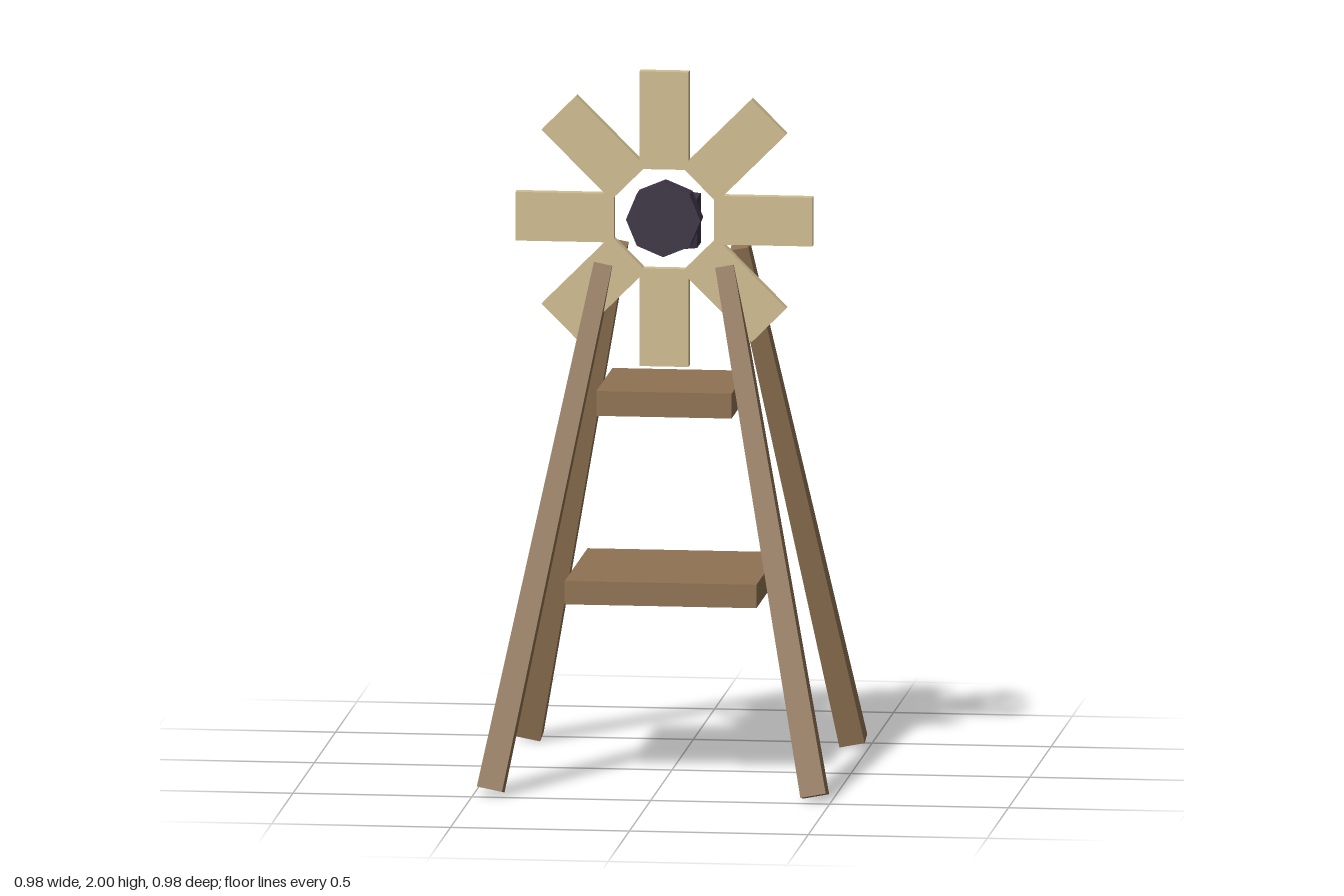
import * as THREE from 'three';

const material = (color) => new THREE.MeshStandardMaterial({ color, flatShading: true });

export function createModel() {
  const model = new THREE.Group();
  model.name = 'windmill';
  const wood = material(0x8f7252);
  const paleWood = material(0xd0bd90);
  const dark = material(0x3c3344);

  const add = (name, geometry, mat, parent = model) => {
    const mesh = new THREE.Mesh(geometry, mat);
    mesh.name = name;
    parent.add(mesh);
    return mesh;
  };

  // Four square, tapered legs leaning inwards
  const up = new THREE.Vector3(0, 1, 0);
  for (const sx of [-1, 1]) {
    for (const sz of [-1, 1]) {
      const foot = new THREE.Vector3(0.453 * sx, 0.0145, 0.453 * sz);
      const tip = new THREE.Vector3(0.17 * sx, 1.452, 0.17 * sz);
      const axis = tip.clone().sub(foot);
      const geometry = new THREE.CylinderGeometry(0.026 * Math.SQRT2, 0.036 * Math.SQRT2, axis.length(), 4);
      geometry.rotateY(Math.PI / 4);
      const leg = add(`${sz > 0 ? 'front' : 'back'}${sx > 0 ? 'Left' : 'Right'}Leg`, geometry, wood);
      leg.position.copy(foot).add(tip).multiplyScalar(0.5);
      leg.quaternion.setFromUnitVectors(up, axis.normalize());
    }
  }

  // Platforms between the legs
  add('lowerPlatform', new THREE.BoxGeometry(0.536, 0.066, 0.536), wood).position.y = 0.541;
  add('upperPlatform', new THREE.BoxGeometry(0.378, 0.07, 0.378), wood).position.y = 1.062;

  // Hexagonal head block on the tower axis
  add('headBlock', new THREE.CylinderGeometry(0.087, 0.087, 0.14, 6), dark).position.y = 1.55;

  // Wheel: octagonal hub with a ring of eight blades
  const wheel = new THREE.Group();
  wheel.name = 'wheel';
  wheel.position.set(0, 1.585, 0.174);
  model.add(wheel);

  add('hub', new THREE.CylinderGeometry(0.104, 0.104, 0.068, 8).rotateX(Math.PI / 2), dark, wheel);
  const bladeGeometry = new THREE.BoxGeometry(0.137, 0.275, 0.032).translate(0, 0.2775, 0);
  for (let i = 0; i < 8; i++) {
    add(`blade${i + 1}`, bladeGeometry, paleWood, wheel).rotation.z = (i * Math.PI) / 4;
  }

  return model;
}
